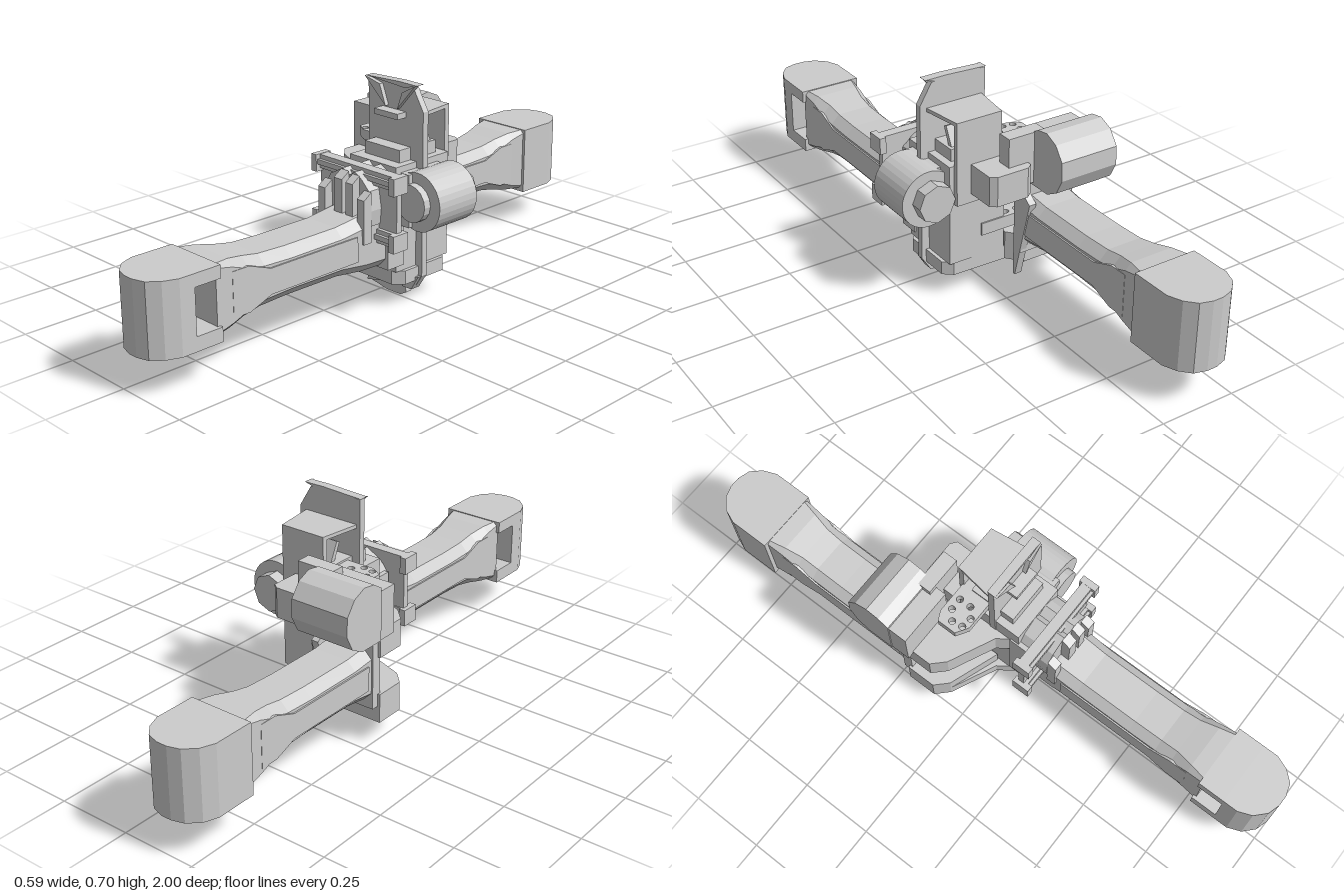
import * as THREE from 'three';

const mat = new THREE.MeshStandardMaterial({ color: 0xcccccc, flatShading: true, side: THREE.DoubleSide });

export function createModel() {
  const model = new THREE.Group();
  const add = (name, geo) => {
    const m = new THREE.Mesh(geo, mat);
    m.name = name;
    model.add(m);
    return m;
  };
  // Box from its bounds
  const box = (name, x0, x1, y0, y1, z0, z1) => add(name,
    new THREE.BoxGeometry(x1 - x0, y1 - y0, z1 - z0).translate((x0 + x1) / 2, (y0 + y1) / 2, (z0 + z1) / 2));
  const shapeOf = pts => new THREE.Shape(pts.map(p => new THREE.Vector2(...p)));
  const extrude = (s, depth) => new THREE.ExtrudeGeometry(s, { depth, bevelEnabled: false, curveSegments: 8 });
  // Outline in (x, z), raised from y0 to y1
  const plan = (name, pts, y0, y1, holes = []) => {
    const s = shapeOf(pts.map(([x, z]) => [x, -z]));
    for (const [x, z, r] of holes) s.holes.push(new THREE.Path().absarc(x, -z, r, 0, Math.PI * 2, true));
    return add(name, extrude(s, y1 - y0).rotateX(-Math.PI / 2).translate(0, y0, 0));
  };
  // Outline in (z, y), stretched from x0 to x1
  const side = (name, pts, x0, x1) =>
    add(name, extrude(shapeOf(pts.map(([z, y]) => [-z, y])), x1 - x0).rotateY(Math.PI / 2).translate(x0, 0, 0));
  // Outline in (x, y), stretched from z0 to z1
  const front = (name, shape, z0, z1) => add(name, extrude(shape, z1 - z0).translate(0, 0, z0));
  const cylZ = (name, x, y, r, z0, z1, n) => add(name,
    new THREE.CylinderGeometry(r, r, z1 - z0, n).rotateX(Math.PI / 2).translate(x, y, (z0 + z1) / 2));

  // Chamfered arm: sections are [z, half width, half height, corner cut]
  function arm(name, cx, cy, sections) {
    const pos = [], idx = [], n = 8;
    for (const [z, w, h, c] of sections) {
      const ring = [[w, h - c], [w - c, h], [c - w, h], [-w, h - c], [-w, c - h], [c - w, -h], [w - c, -h], [w, c - h]];
      ring.forEach(([x, y]) => pos.push(cx + x, cy + y, z));
    }
    for (let s = 0; s < sections.length - 1; s++) for (let i = 0; i < n; i++) {
      const a = s * n + i, b = s * n + (i + 1) % n;
      idx.push(a, b, b + n, a, b + n, a + n);
    }
    const last = (sections.length - 1) * n;
    for (let i = 1; i < n - 1; i++) idx.push(0, i + 1, i, last, last + i, last + i + 1);
    const g = new THREE.BufferGeometry();
    g.setAttribute('position', new THREE.Float32BufferAttribute(pos, 3));
    g.setIndex(idx);
    g.computeVertexNormals();
    return add(name, g);
  }
  const sections = [[0.1, 0.09, 0.095, 0.03], [0.2, 0.092, 0.09, 0.03], [0.3, 0.09, 0.078, 0.03], [0.5, 0.09, 0.077, 0.03],
    [0.6, 0.09, 0.081, 0.03], [0.66, 0.092, 0.092, 0.03], [0.72, 0.094, 0.104, 0.02], [0.78, 0.097, 0.108, 0.01]];
  arm('frontArm', 0.05, 0.24, sections);
  const rear = sections.slice(1).map(([z, w, h, c]) => [-z, w, h, c]).reverse();
  arm('rearArm', -0.165, 0.24, rear);

  // Raised side rails on both arms
  for (const [cx, dir] of [[0.05, 1], [-0.165, -1]]) for (const s of [-1, 1]) {
    const x = cx + s * 0.091;
    side('armSideRail', [[0.24, 0.2], [0.58, 0.2], [0.66, 0.17], [0.72, 0.17], [0.72, 0.31], [0.66, 0.31], [0.58, 0.28], [0.24, 0.28]]
      .map(([z, y]) => [z * dir, y]), x - 0.004, x + 0.004);
  }

  // Rounded end blocks; the front one has an opening right through
  const nose = (cx, dir, start) => [[-0.108, start], [-0.108, 0.91], [-0.09, 0.955], [-0.055, 0.988], [-0.015, 1],
    [0.02, 1], [0.06, 0.988], [0.09, 0.955], [0.108, 0.91], [0.108, start]].map(([x, z]) => [cx + x, z * dir]);
  plan('frontEndBlock', nose(0.05, 1, 0.86), 0.12, 0.35);
  box('frontBlockTop', -0.058, 0.158, 0.31, 0.35, 0.77, 0.86);
  box('frontBlockBottom', -0.058, 0.158, 0.12, 0.165, 0.77, 0.86);
  plan('rearEndBlock', nose(-0.167, -1, 0.775), 0.12, 0.35);

  // Main upright plate with screw holes and slots
  const plate = shapeOf([[-0.062, 0.693], [0.03, 0.695], [0.13, 0.69], [0.172, 0.62], [0.172, 0.09], [0.14, 0.04], [0.1, 0.04],
    [0.105, 0.015], [0.08, 0.001], [0.02, 0.001], [-0.055, 0.015], [-0.05, 0.1], [-0.06, 0.5]]);
  for (const y of [0.037, 0.667]) plate.holes.push(new THREE.Path().absarc(0.05, y, 0.011, 0, Math.PI * 2, true));
  for (const x of [-0.02, 0.12]) {
    const slot = new THREE.Path();
    slot.absarc(x, 0.563, 0.011, 0, Math.PI, false);
    slot.absarc(x, 0.528, 0.011, Math.PI, Math.PI * 2, false);
    plate.holes.push(slot);
  }
  front('mainPlate', plate, -0.03, -0.008);

  // Flared ears at the top and bottom of the plate
  front('topEar', shapeOf([[-0.065, 0.695], [0.0, 0.68], [0.025, 0.615]]), -0.008, 0.006);
  front('topEar', shapeOf([[0.15, 0.7], [0.075, 0.615], [0.095, 0.67]]), -0.012, 0.006);
  front('topLip', shapeOf([[-0.065, 0.695], [0.08, 0.701], [0.153, 0.7], [0.1, 0.685]]), -0.03, 0);
  front('bottomEar', shapeOf([[-0.055, 0.018], [0.0, 0.03], [-0.01, 0.07], [-0.05, 0.07]]), -0.03, 0.006);
  front('bottomEar', shapeOf([[0.1, 0.04], [0.14, 0.04], [0.17, 0.09], [0.09, 0.075]]), -0.03, 0.006);

  // Hood behind the plate
  box('hoodLip', 0, 0.1, 0.59, 0.608, -0.02, 0.03);
  plan('hoodTop', [[-0.05, -0.02], [0.15, -0.02], [0.13, -0.165], [-0.03, -0.165]], 0.597, 0.609);
  box('hoodBack', -0.03, 0.13, 0.33, 0.609, -0.168, -0.15);
  side('hoodBrace', [[-0.065, 0.555], [-0.078, 0.56], [-0.13, 0.45], [-0.115, 0.44]], -0.01, 0.11);

  // Central housing
  box('coreHousing', -0.055, 0.145, 0.12, 0.46, -0.15, 0.08);
  box('coreCap', -0.03, 0.12, 0.46, 0.5, -0.12, 0.04);
  box('frontCollar', -0.06, 0.15, 0.14, 0.4, 0.05, 0.12);

  // Front frame: two rails, end uprights, corner clips
  box('frameWeb', -0.115, 0.215, 0.275, 0.43, 0.128, 0.148);
  for (const s of [-1, 1]) {
    const y = 0.3525 + s * 0.09;
    box('frameRail', -0.125, 0.225, y - 0.022, y + 0.022, 0.125, 0.16);
    box('railRib', -0.11, 0.21, y - 0.008, y + 0.008, 0.16, 0.17);
    for (const x of [-0.118, 0.218])
      box('cornerClip', x - 0.011, x + 0.011, y - 0.032, y + 0.023, 0.115, 0.175);
  }
  // Faceted crown above the front arm
  const crown = shapeOf([[-0.055, 0.34], [-0.05, 0.39], [-0.025, 0.43], [0.03, 0.46], [0.05, 0.44], [0.08, 0.458], [0.11, 0.44],
    [0.14, 0.41], [0.15, 0.35], [0.145, 0.3], [-0.05, 0.3]]);
  front('armCrown', crown, 0.06, 0.19);
  for (const [a, b, c] of [[-0.05, -0.02, 0.41], [0.02, 0.055, 0.455], [0.07, 0.1, 0.45], [0.12, 0.15, 0.41]])
    side('crownRib', [[0.19, c], [0.22, c - 0.02], [0.22, 0.25], [0.19, 0.25]], a, b);

  // Side motor, axis along z
  cylZ('sideMotor', 0.2, 0.355, 0.094, -0.12, 0.045, 32);
  cylZ('motorRearCap', 0.195, 0.355, 0.063, -0.162, -0.12, 8);
  cylZ('motorFrontCap', 0.195, 0.355, 0.06, 0.045, 0.07, 16);
  box('motorMount', 0.13, 0.18, 0.27, 0.44, -0.1, 0.06);

  // Perforated side clamps
  const holes = [[-0.145, -0.105], [-0.115, -0.13], [-0.075, -0.13], [-0.14, -0.07], [-0.105, -0.065], [-0.075, -0.09]]
    .map(([x, z]) => [x, z, 0.011]);
  const clamp = [[-0.17, -0.14], [-0.14, -0.155], [0.03, -0.155], [0.03, -0.05], [-0.13, -0.05], [-0.17, -0.075]];
  plan('upperClamp', clamp, 0.462, 0.494, holes);
  plan('lowerClamp', clamp, 0.19, 0.232, holes);

  // Fork joining the rear arm to the housing
  const link = xr => [[-0.27, -0.2], [-0.27, -0.1], [-0.23, -0.06], [-0.08, 0.01], [-0.03, 0.08], [xr - 0.03, 0.08], [xr, 0.05],
    [xr, -0.12], [xr - 0.03, -0.145], [-0.06, -0.15], [-0.1, -0.2]];
  plan('upperLink', link(0.0), 0.297, 0.388);
  plan('lowerLink', link(0.157), 0.075, 0.12);
  plan('lowerLinkEnd', [[-0.27, -0.2], [-0.27, -0.1], [-0.23, -0.06], [-0.06, 0], [-0.06, -0.15], [-0.1, -0.2]], 0.12, 0.172);
  side('forkWedge', [[-0.19, 0.39], [-0.255, 0.33], [-0.27, 0.32], [-0.225, 0.14], [-0.2, 0.04], [-0.19, 0.04]], -0.09, -0.065);
  box('forkBackPlate', -0.262, -0.07, 0.13, 0.385, -0.225, -0.19);

  // Rear upper motor, faceted, axis along x
  side('rearMotor', [[-0.23, 0.375], [-0.23, 0.545], [-0.265, 0.568], [-0.31, 0.575], [-0.355, 0.555], [-0.388, 0.51],
    [-0.39, 0.45], [-0.365, 0.4], [-0.32, 0.375]], -0.295, -0.092);
  box('rearMotorBase', -0.292, -0.1, 0.375, 0.533, -0.235, -0.165);
  box('rearMotorBracket', -0.13, 0.0, 0.385, 0.555, -0.25, -0.2);
  plan('rearHub', [[-0.07, -0.16], [-0.07, -0.265], [-0.05, -0.28], [0.06, -0.28], [0.08, -0.265], [0.08, -0.16]], 0.36, 0.46);

  return model;
}
